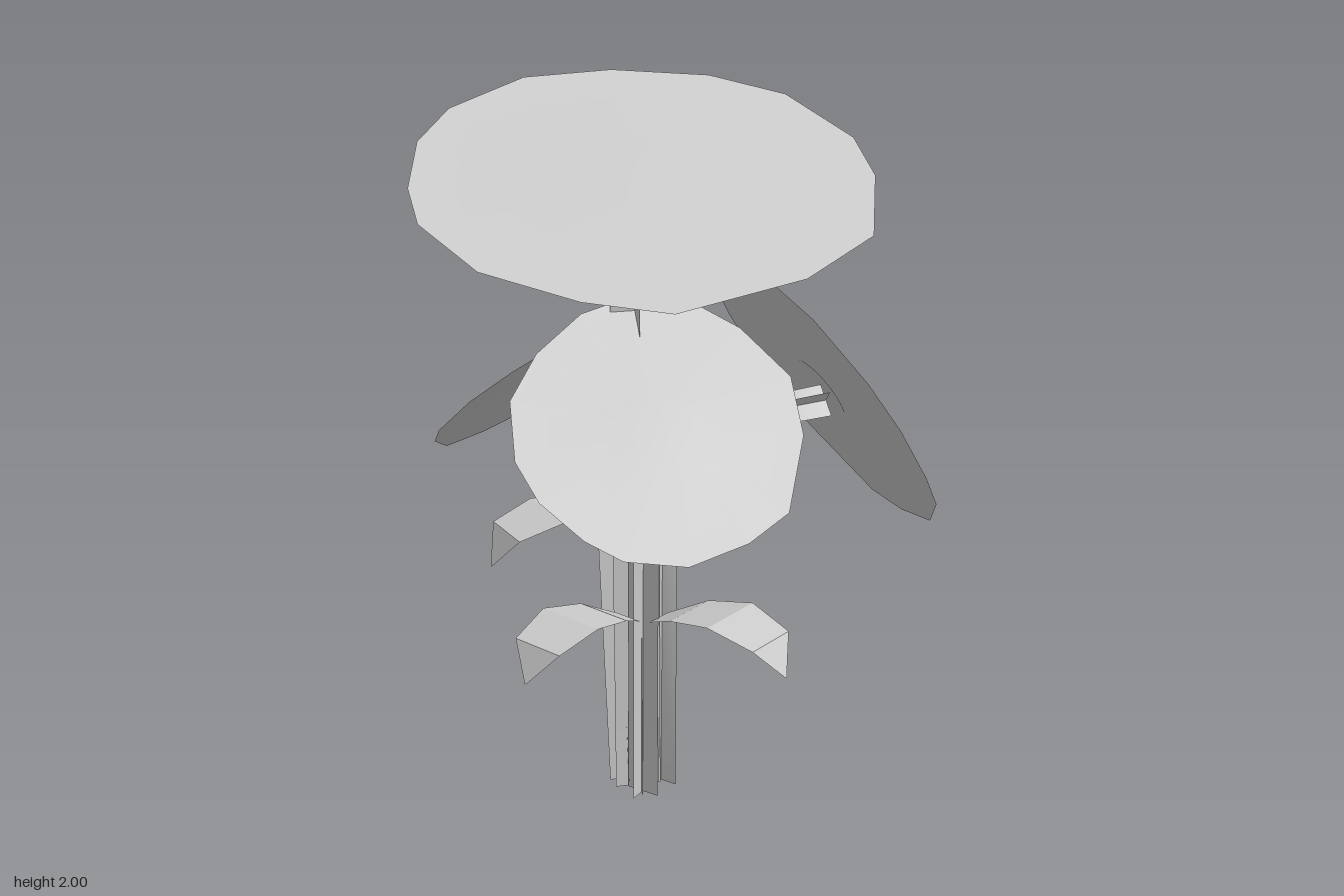
import * as THREE from 'three';
import { mergeVertices } from 'three/addons/utils/BufferGeometryUtils.js';

const V = (x, y, z) => new THREE.Vector3(x, y, z);
const material = new THREE.MeshStandardMaterial({ color: 0xcccccc, side: THREE.DoubleSide });

// Surface through rows of points, each row holding the same number of points
function loft(rows) {
  const n = rows[0].length, index = [];
  for (let i = 0; i < rows.length - 1; i++) {
    for (let j = 0; j < n - 1; j++) {
      const a = i * n + j, b = a + n;
      index.push(a, b, a + 1, a + 1, b, b + 1);
    }
  }
  const open = new THREE.BufferGeometry().setFromPoints(rows.flat());
  open.setIndex(index);
  const geometry = mergeVertices(open);
  geometry.computeVertexNormals();
  return geometry;
}

function mesh(name, geometry) {
  const m = new THREE.Mesh(geometry, material);
  m.name = name;
  return m;
}

// Uneven rim of a flower head, as x, z on a unit disc
const RIM = [
  [-0.37, -0.95], [0.04, -0.99], [0.48, -0.9], [0.79, -0.69], [0.99, -0.27],
  [0.99, 0.06], [0.84, 0.53], [0.48, 0.81], [-0.09, 0.99], [-0.43, 0.87],
  [-0.79, 0.62], [-0.98, 0.25], [-0.99, -0.03], [-0.91, -0.41], [-0.74, -0.69],
];

// Flat head with a small raised cone in the middle
function flowerHead(center, normal, radius, spin) {
  const rings = [[0, 0.072], [0.21, 0], [1, 0]];
  const outline = [...RIM, RIM[0]].reverse();
  const geometry = loft(rings.map(([r, h]) => outline.map(([x, z]) =>
    V(x * r * radius, h * radius, z * r * radius).applyAxisAngle(V(0, 1, 0), spin))));
  const head = mesh('flowerHead', geometry);
  head.quaternion.setFromUnitVectors(V(0, 1, 0), normal.clone().normalize());
  head.position.copy(center);
  return head;
}

// Stem made of two crossed ribbons following a bent path
function stem(path, across, turn, halfWidth) {
  const group = new THREE.Group();
  group.name = 'stem';
  for (const quarter of [0, Math.PI / 2]) {
    const rows = path.map((p, i) => {
      const t = i === 0 ? V(0, 1, 0)
        : path[Math.min(i + 1, path.length - 1)].clone().sub(path[i - 1]).normalize();
      const side = across.clone().addScaledVector(t, -across.dot(t)).normalize();
      side.applyAxisAngle(t, turn + quarter).multiplyScalar(halfWidth);
      return [p.clone().sub(side), p.clone().add(side)];
    });
    group.add(mesh('stemRibbon', loft(rows)));
  }
  return group;
}

// Arched leaf: fraction along, height, half width
const LEAF = [[0, 0, 0.04], [0.25, 0.055, 0.085], [0.57, 0.085, 0.1], [0.88, 0.05, 0.08], [1, -0.04, 0.002]];

function leaf(base, tipX, tipZ) {
  const run = V(tipX - base.x, 0, tipZ - base.z);
  const side = V(-run.z, 0, run.x).normalize();
  const rows = LEAF.map(([t, h, w]) => {
    const p = base.clone().addScaledVector(run, t);
    p.y += h;
    return [-w, w].map((k) => p.clone().addScaledVector(side, k));
  });
  const m = mesh('leaf', loft(rows).toNonIndexed());
  m.geometry.computeVertexNormals();
  return m;
}

export function createModel() {
  const model = new THREE.Group();
  model.name = 'flowerPlant';

  const flowers = [
    { // tall flower
      name: 'topFlower', center: V(-0.105, 1.82, 0.075), normal: V(0, 0.953, 0.304), radius: 0.602, spin: 0,
      path: [V(-0.115, 0, -0.04), V(-0.115, 0.85, -0.04), V(-0.115, 1.55, -0.03), V(-0.115, 1.84, 0.06)],
      across: V(1, 0, 0), turn: 0, halfWidth: 0.066,
    },
    { // front flower
      name: 'frontFlower', center: V(-0.1, 1.21, 0.245), normal: V(0, 0.76, 0.65), radius: 0.39, spin: 0.9,
      path: [V(-0.11, 0, 0), V(-0.11, 0.85, 0.035), V(-0.11, 1.08, 0.12), V(-0.105, 1.21, 0.245)],
      across: V(1, 0, 0), turn: Math.PI / 4, halfWidth: 0.05,
    },
    { // flower on the left
      name: 'leftFlower', center: V(0.433, 1.155, -0.12), normal: V(0.83, 0.54, -0.17), radius: 0.477, spin: 2.1,
      path: [V(-0.045, 0, -0.05), V(-0.035, 0.86, -0.06), V(0.22, 1.1, -0.1), V(0.45, 1.12, -0.12)],
      across: V(0, 0, 1), turn: Math.PI / 4, halfWidth: 0.05,
    },
    { // flower at the back right
      name: 'backFlower', center: V(-0.292, 1.19, -0.32), normal: V(-0.43, 0.76, -0.49), radius: 0.388, spin: 3.3,
      path: [V(-0.14, 0, -0.08), V(-0.16, 0.85, -0.12), V(-0.22, 1.06, -0.2), V(-0.292, 1.19, -0.32)],
      across: V(0.75, 0, -0.66), turn: Math.PI / 4, halfWidth: 0.05,
    },
  ];
  for (const f of flowers) {
    const flower = new THREE.Group();
    flower.name = f.name;
    flower.add(stem(f.path, f.across, f.turn, f.halfWidth), flowerHead(f.center, f.normal, f.radius, f.spin));
    model.add(flower);
  }

  // Leaves around the stems
  model.add(
    leaf(V(-0.16, 0.855, 0), -0.54, 0.12),
    leaf(V(-0.15, 0.575, 0.02), -0.48, 0.27),
    leaf(V(-0.07, 0.575, 0.04), 0.2, 0.39),
    leaf(V(-0.03, 0.705, -0.1), 0.115, -0.495),
  );
  return model;
}
